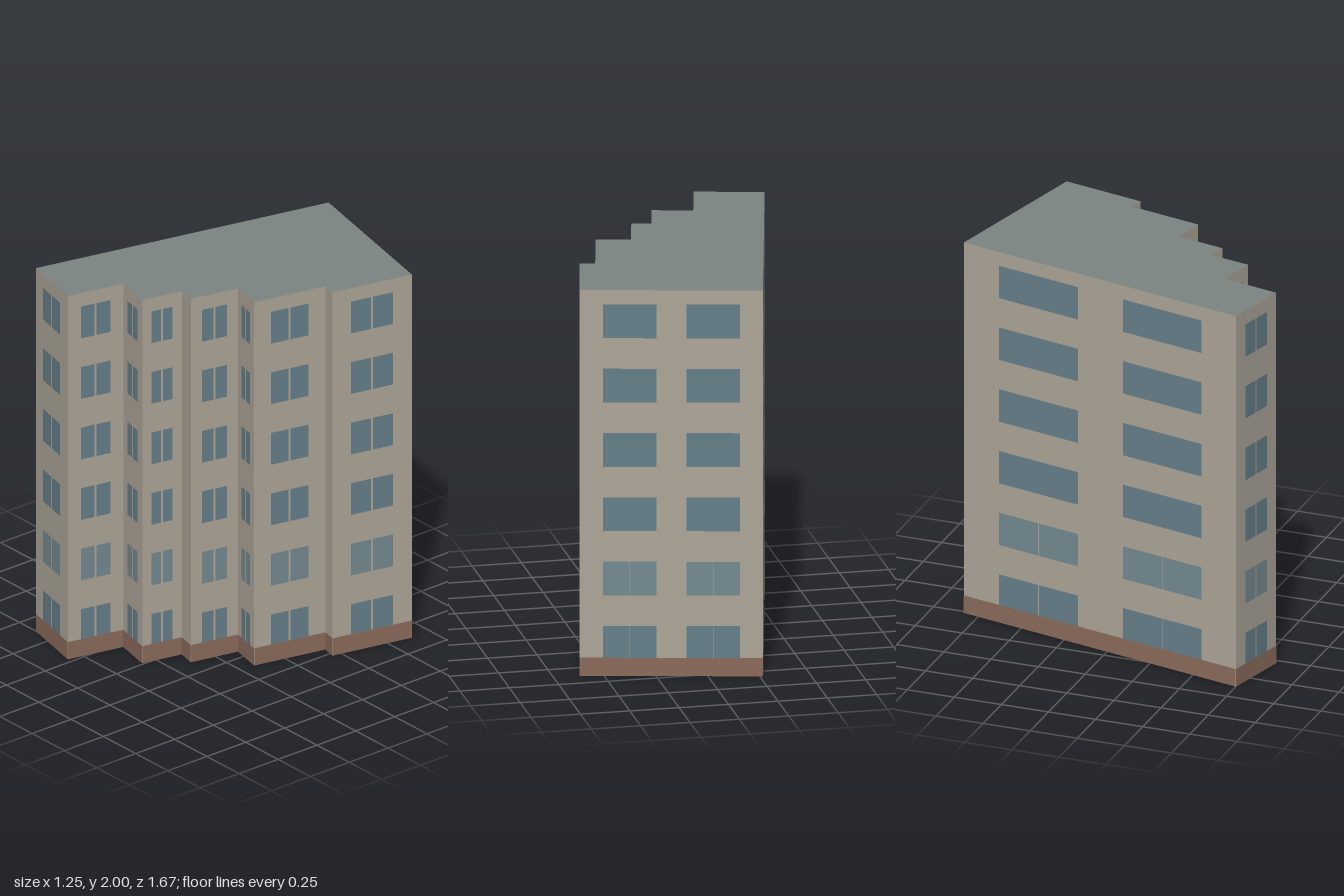
import * as THREE from 'three';

const HEIGHT = 2, FLOORS = 6, PLINTH = 0.095;

// Stepped footprint as [x, z], running clockwise seen from above
const footprint = [
  [-0.265, -0.833], [0.62, -0.633], [0.524, -0.203], [0.449, -0.22],
  [0.362, 0.166], [0.191, 0.128], [0.134, 0.383], [0.037, 0.361],
  [-0.01, 0.576], [-0.212, 0.53], [-0.28, 0.83], [-0.622, 0.75],
];

// Window spans as fractions of the wall width
const PAIR = [[0.13, 0.42], [0.585, 0.875]];
const SINGLE = [[0.23, 0.76]];
const BLANK = [];
const layout = [PAIR, SINGLE, BLANK, SINGLE, SINGLE, SINGLE, BLANK, SINGLE, SINGLE, SINGLE, SINGLE, PAIR];

const paint = (color, side = THREE.FrontSide) => new THREE.MeshStandardMaterial({ color, side });

// Upright rectangle from (x0, y0) to (x1, y1), facing local +z
function panel(name, x0, x1, y0, y1, z, material) {
  const mesh = new THREE.Mesh(new THREE.PlaneGeometry(x1 - x0, y1 - y0), material);
  mesh.position.set((x0 + x1) / 2, (y0 + y1) / 2, z);
  mesh.name = name;
  return mesh;
}

export function createModel() {
  const model = new THREE.Group();
  model.name = 'apartmentBlock';
  const wallMat = paint(0xaea699, THREE.DoubleSide);
  const roofMat = paint(0x7c8582, THREE.DoubleSide);
  const plinthMat = paint(0x8c6b5c);
  const glassMat = paint(0x66808a);
  const paleGlassMat = paint(0x748b92);

  footprint.forEach((p, i) => {
    const q = footprint[(i + 1) % footprint.length];
    const dx = q[0] - p[0], dz = q[1] - p[1];
    const width = Math.hypot(dx, dz);

    // Each wall is built flat, then turned to face outwards
    const facade = new THREE.Group();
    facade.name = 'facade';
    facade.position.set(q[0], 0, q[1]);
    facade.rotation.y = Math.atan2(dz, -dx);
    facade.add(panel('wall', 0, width, 0, HEIGHT, 0, wallMat));
    facade.add(panel('plinth', 0, width, 0, PLINTH, 0.002, plinthMat));

    for (const [a, b] of layout[i]) {
      for (let floor = 0; floor < FLOORS; floor++) {
        const bottom = 0.085 + floor * HEIGHT / FLOORS;
        const y0 = Math.max(bottom, PLINTH), y1 = bottom + 0.175;
        const x0 = a * width, x1 = b * width, mid = (x0 + x1) / 2;
        const glass = floor === 1 ? paleGlassMat : glassMat;
        const wide = layout[i] === PAIR;
        if (wide && floor > 1) {
          facade.add(panel('window', x0, x1, y0, y1, 0.002, glass));
        } else {
          // Two panes with a narrow strip of wall between them
          const gap = wide ? 0.002 : 0.005;
          facade.add(panel('windowPane', x0, mid - gap, y0, y1, 0.002, glass));
          facade.add(panel('windowPane', mid + gap, x1, y0, y1, 0.002, glass));
        }
      }
    }
    model.add(facade);
  });

  // Flat roof; the underside of the block stays open
  const outline = new THREE.Shape(footprint.map(([x, z]) => new THREE.Vector2(x, -z)));
  const roof = new THREE.Mesh(new THREE.ShapeGeometry(outline), roofMat);
  roof.rotation.x = -Math.PI / 2;
  roof.position.y = HEIGHT;
  roof.name = 'roof';
  model.add(roof);
  return model;
}
